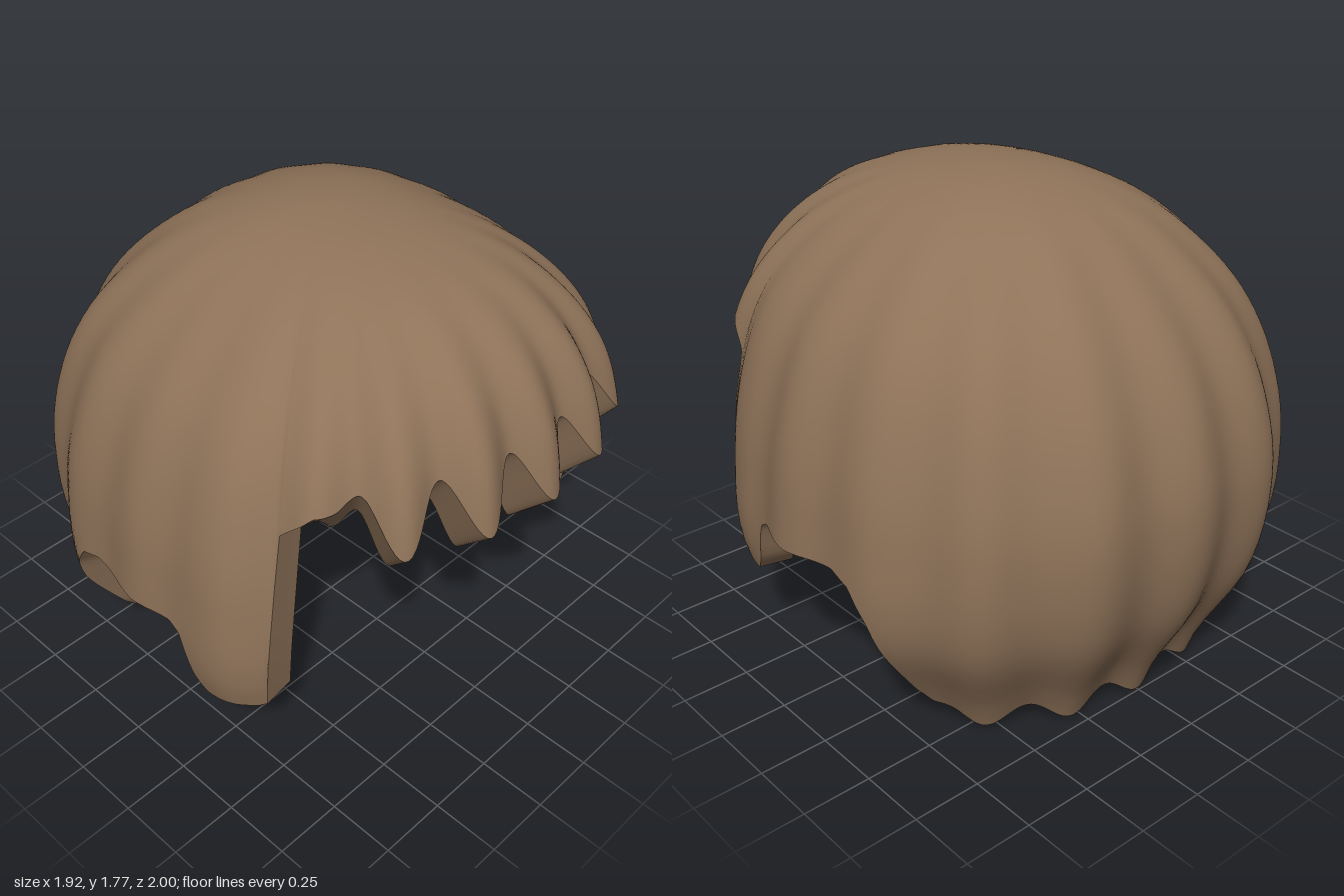
import * as THREE from 'three';
import { toCreasedNormals } from 'three/addons/utils/BufferGeometryUtils.js';

const TOP = 1.77, INNER_TOP = 1.64, COLS = 480;
const { smoothstep, lerp, degToRad, radToDeg } = THREE.MathUtils;

// Radius from crown to hem along the front, side and back; points are even in sqrt(depth)
const curve = radii => new THREE.SplineCurve(radii.map((r, i) => new THREE.Vector2(i, r)));
const frontCurve = curve([0, 0.33, 0.62, 0.80, 0.91, 0.96, 0.98, 0.98, 0.95]);
const sideCurve = curve([0, 0.22, 0.43, 0.62, 0.78, 0.88, 0.935, 0.93, 0.74]);
const backCurve = curve([0, 0.22, 0.45, 0.64, 0.81, 0.93, 0.98, 0.92, 0.72]);

// Hem height by angle from the front: fringe, sideburn, ear notch, nape
const hemPoints = [[0, 1.18], [38, 1.18], [43, 1.22], [49, 1.21], [55.5, 1.11], [58.5, 0.38], [60, 0.37],
  [71, 0.37], [74, 0.44], [77, 0.6], [80, 0.63], [90, 0.62], [104, 0.64], [109, 0.61], [113, 0.5],
  [119, 0.16], [122, 0.09], [130, 0.055], [180, 0.035]];

// Lock pattern: narrow locks across the fringe, wider ones behind; 1 on a ridge, -1 in a groove
function lock(a) {
  const b = Math.abs(a), edge = Math.PI / 3;
  return Math.cos(22 * Math.min(b, edge) + 16 * Math.max(b - edge, 0));
}

// Hem height with lock tips of the given depth at the fringe and nape
function hem(a, fringe, nape) {
  const d = radToDeg(Math.abs(a));
  let i = 1;
  while (i < hemPoints.length - 1 && hemPoints[i][0] < d) i++;
  const [d0, y0] = hemPoints[i - 1], [d1, y1] = hemPoints[i];
  const y = lerp(y0, y1, Math.min((d - d0) / (d1 - d0), 1));
  const wave = fringe * (1 - smoothstep(d, 36, 46)) + nape * smoothstep(d, 122, 135);
  return y - wave * lock(a);
}

// Lining hem hangs lower under the fringe and a little higher at the nape
function innerHem(a) {
  const d = radToDeg(Math.abs(a));
  return hem(a, 0.115, 0.012) - 0.155 * (1 - smoothstep(d, 46, 58)) + 0.03 * smoothstep(d, 115, 128);
}

function radius(a, y, ridge) {
  const u = Math.sqrt(Math.min(Math.max(1 - y / TOP, 0), 1));
  const s = Math.abs(Math.sin(a)), c = Math.abs(Math.cos(a));
  const rz = Math.max((Math.cos(a) > 0 ? frontCurve : backCurve).getPoint(u).y, 1e-4);
  const rx = Math.max(sideCurve.getPoint(u).y, 1e-4);
  const r = ((s / rx) ** 2.3 + (c / rz) ** 2.3) ** (-1 / 2.3);
  const d = radToDeg(Math.abs(a));
  const amp = lerp(0.038, 0.012, smoothstep(d, 35, 70)) + 0.008 * smoothstep(d, 105, 140);
  // The right sideburn flares out a little and the left one tucks in
  const flare = -0.02 * Math.sign(a) * smoothstep(d, 55, 68) * (1 - smoothstep(d, 72, 88));
  return r + smoothstep(u, 0.1, 0.7) * (ridge * amp * lock(a) + flare);
}

const at = (a, r, y) => [Math.sin(a) * r, y, Math.cos(a) * r];

function outer(a, t) {
  const y = TOP - (TOP - hem(a, 0.1, 0.035)) * t * t;
  return at(a, radius(a, y, 1), y);
}

// The lining turns forward at the sideburns so that their front faces are cut square
function inner(a, t) {
  const y = INNER_TOP - (INNER_TOP - innerHem(a)) * t * t;
  const d = radToDeg(Math.abs(a));
  const turn = degToRad(3.4) * smoothstep(d, 42, 57) * (1 - smoothstep(d, 60, 76));
  const r = radius(a, y * TOP / INNER_TOP, 0.3) * lerp(0.845, 0.865, smoothstep(d, 40, 60));
  return at(a - Math.sign(a) * turn, r, y);
}

// Closed ring of columns; a pole row shares one vertex
function loft(point, rows, pole = -1) {
  const pos = [], index = [];
  for (let j = 0; j <= rows; j++) {
    for (let i = 0; i < COLS; i++) {
      pos.push(...point(degToRad(-180 + 360 * i / COLS), j / rows));
    }
  }
  const id = (i, j) => j * COLS + (j === pole ? 0 : i % COLS);
  for (let j = 0; j < rows; j++) {
    for (let i = 0; i < COLS; i++) {
      const p = id(i, j), q = id(i, j + 1), r = id(i + 1, j + 1), s = id(i + 1, j);
      if (p !== s) index.push(p, q, s);
      if (q !== r) index.push(s, q, r);
    }
  }
  const g = new THREE.BufferGeometry();
  g.setAttribute('position', new THREE.Float32BufferAttribute(pos, 3));
  g.setIndex(index);
  g.computeVertexNormals();
  return g;
}

export function createModel() {
  const brown = new THREE.MeshStandardMaterial({ color: 0x8f7359 });
  brown.name = 'hairBrown';
  const group = new THREE.Group();
  group.name = 'hair';
  const add = (name, geometry) => {
    const mesh = new THREE.Mesh(geometry, brown);
    mesh.name = name;
    group.add(mesh);
  };

  // Ridged outer hair
  add('outerHair', loft(outer, 44, 0));

  // Thick cut edge joining the outside to the inside
  const rim = (a, t) => {
    const p = outer(a, 1), q = inner(a, 1);
    return p.map((v, k) => lerp(v, q[k], t));
  };
  add('cutEdge', toCreasedNormals(loft(rim, 4), 0.7));

  // Hollow inside, running from the hem up to its crown
  add('innerHair', loft((a, t) => inner(a, 1 - t), 36, 36));
  return group;
}
